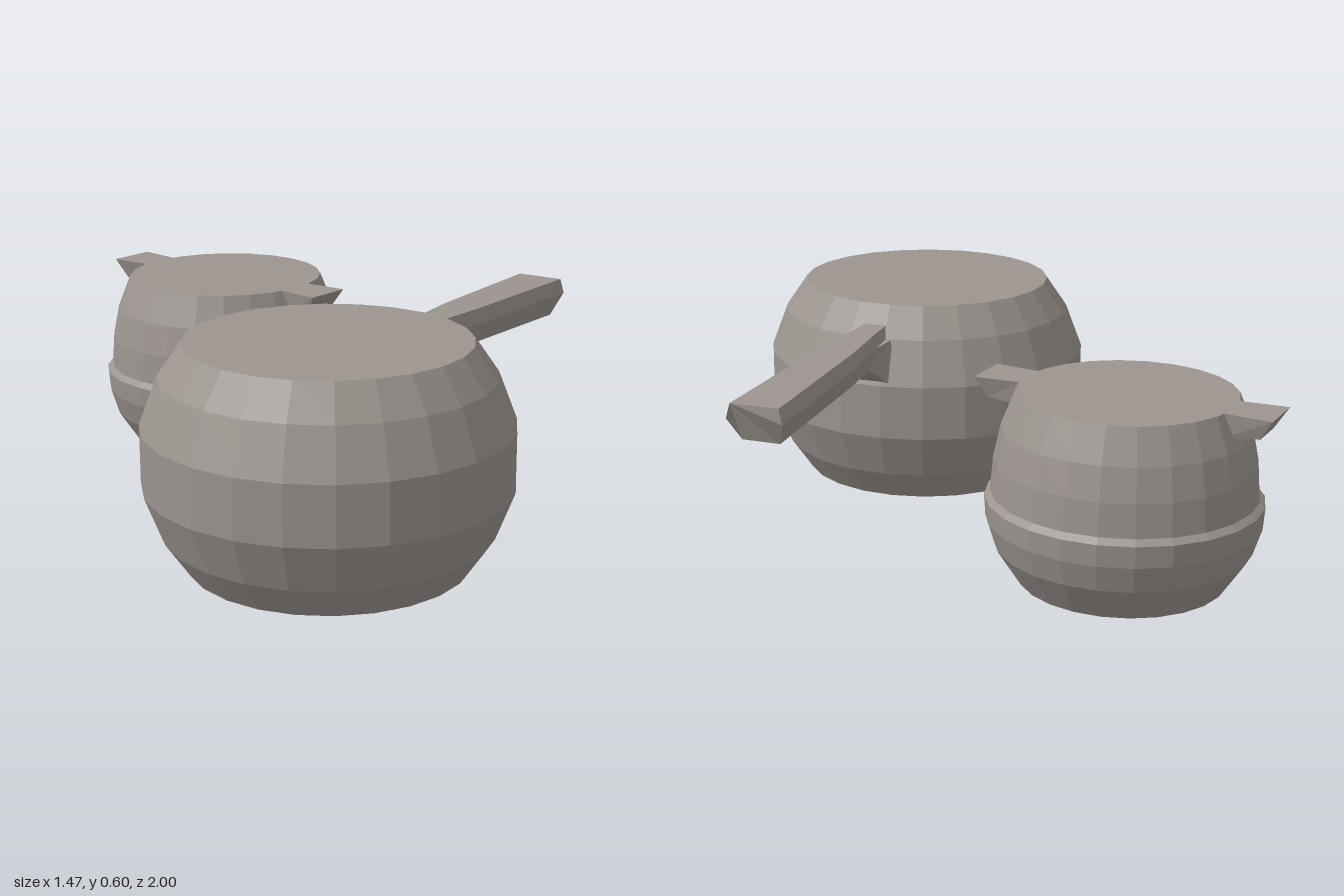
import * as THREE from 'three';

const castIron = new THREE.MeshStandardMaterial({ color: 0x9b948f, flatShading: true });
castIron.name = 'warm grey';

// Closed faceted body turned from [radius, height] pairs
function turned(name, profile, x, z) {
  const top = profile[profile.length - 1][1];
  const points = [[0, 0], ...profile, [0, top]].map(([r, y]) => new THREE.Vector2(r, y));
  const mesh = new THREE.Mesh(new THREE.LatheGeometry(points, 24), castIron);
  mesh.name = name;
  mesh.position.set(x, 0, z);
  return mesh;
}

// Solid along +x; each station is [x, ring], each ring a list of [y, half width] from top to bottom
function loft(name, stations) {
  const rings = stations.map(([x, half]) => [
    ...half.map(([y, w, dx = 0]) => [x + dx, y, w]),
    ...half.slice().reverse().map(([y, w, dx = 0]) => [x + dx, y, -w]),
  ]);
  const n = rings[0].length;
  const index = [];
  for (let s = 0; s < rings.length - 1; s++) {
    for (let i = 0; i < n; i++) {
      const j = (i + 1) % n;
      const a = s * n + i, b = s * n + j;
      index.push(a, b, a + n, b, b + n, a + n);
    }
  }
  const last = (rings.length - 1) * n;
  for (let i = 1; i < n - 1; i++) {
    index.push(0, i + 1, i);
    index.push(last, last + i, last + i + 1);
  }
  const geometry = new THREE.BufferGeometry();
  geometry.setAttribute('position', new THREE.Float32BufferAttribute(rings.flat(2), 3));
  geometry.setIndex(index);
  geometry.computeVertexNormals();
  const mesh = new THREE.Mesh(geometry, castIron);
  mesh.name = name;
  return mesh;
}

export function createModel() {
  const model = new THREE.Group();
  model.name = 'cookingPots';

  // Large saucepan
  const panX = -0.25, panZ = 0.51;
  model.add(turned('saucepanBody', [
    [0.378, 0], [0.44, 0.09], [0.49, 0.22], [0.49, 0.38], [0.44, 0.51], [0.378, 0.6],
  ], panX, panZ));

  // Long six-sided handle, widening to a slanted end
  const handle = new THREE.Group();
  handle.name = 'saucepanHandle';
  handle.add(loft('handleBar', [
    [0.41, [[0.545, 0.034], [0.505, 0.042], [0.45, 0.03]]],
    [0.50, [[0.543, 0.038], [0.503, 0.046], [0.446, 0.033]]],
    [0.70, [[0.54, 0.056], [0.497, 0.066], [0.437, 0.045]]],
    [1.20, [[0.528, 0.07, 0.005], [0.486, 0.081, 0.008], [0.42, 0.055, -0.03]]],
  ]));
  // Flared root under the handle
  handle.add(loft('handleRoot', [
    [0.44, [[0.51, 0.06], [0.36, 0.085]]],
    [0.55, [[0.50, 0.04], [0.447, 0.034]]],
  ]));
  handle.position.set(panX, 0, panZ);
  handle.rotation.y = Math.atan2(0.642, 0.767);
  model.add(handle);

  // Small pot with a ledge around its belly
  const potX = -0.245, potZ = -0.613;
  model.add(turned('smallPotBody', [
    [0.285, 0], [0.35, 0.1], [0.373, 0.175], [0.377, 0.235], [0.361, 0.25],
    [0.354, 0.34], [0.335, 0.43], [0.297, 0.525],
  ], potX, potZ));

  // Two opposite lugs, flush with the rim
  const lugAngle = Math.atan2(0.355, -0.231);
  for (const turn of [0, Math.PI]) {
    const lug = loft('smallPotLug', [
      [0.285, [[0.525, 0.06], [0.455, 0.05]]],
      [0.42, [[0.525, 0.071], [0.468, 0.053, -0.035]]],
    ]);
    lug.position.set(potX, 0, potZ);
    lug.rotation.y = lugAngle + turn;
    model.add(lug);
  }

  return model;
}
